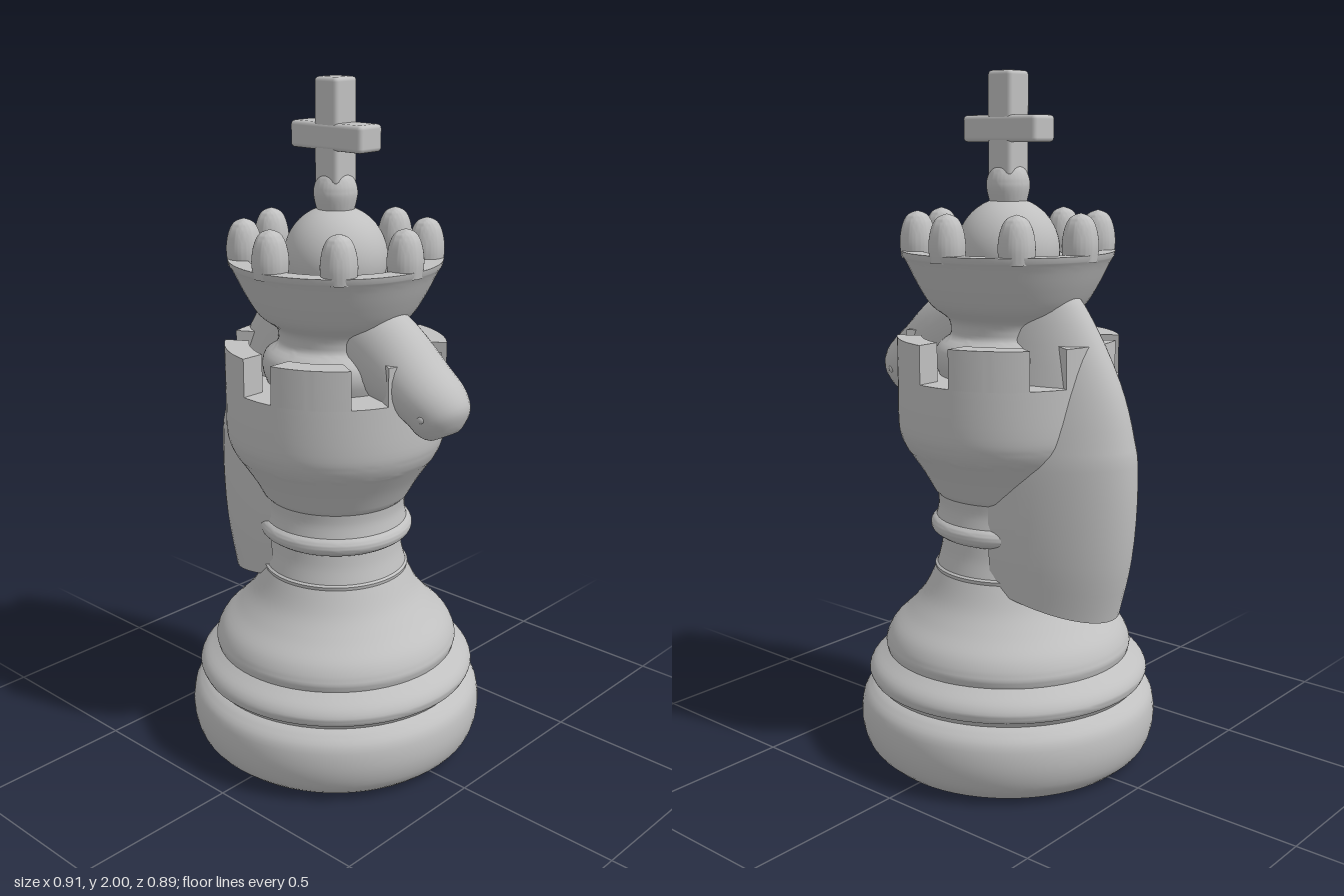
import * as THREE from 'three';
import { toCreasedNormals } from 'three/addons/utils/BufferGeometryUtils.js';
import { RoundedBoxGeometry } from 'three/addons/geometries/RoundedBoxGeometry.js';

const AXIS_X = -0.015;
const stone = new THREE.MeshStandardMaterial({ color: 0xc0c0c0, side: THREE.DoubleSide });
stone.name = 'grey stone';

function add(parent, name, geometry, x = 0, y = 0, z = 0) {
  const mesh = new THREE.Mesh(geometry, stone);
  mesh.name = name;
  mesh.position.set(x, y, z);
  parent.add(mesh);
  return mesh;
}

// Turned part from [radius, height] points, listed from the bottom up the outside
function turned(points, crease = 0.6) {
  const profile = points.map(([r, y]) => new THREE.Vector2(r, y));
  return toCreasedNormals(new THREE.LatheGeometry(profile, 64), crease);
}

// Smooth run of profile points
function smooth(points, n = 20) {
  const curve = new THREE.SplineCurve(points.map(([r, y]) => new THREE.Vector2(r, y)));
  return curve.getPoints(n).map((p) => [p.x, p.y]);
}

// Surface through rings of [x, y, z] points
function loft(rings, closed) {
  const n = rings[0].length;
  const index = [];
  for (let i = 0; i < rings.length - 1; i++) {
    for (let j = 0; j < (closed ? n : n - 1); j++) {
      const k = (j + 1) % n;
      const a = i * n + j, b = i * n + k, c = a + n, d = b + n;
      index.push(a, c, b, b, c, d);
    }
  }
  const geometry = new THREE.BufferGeometry();
  geometry.setAttribute('position', new THREE.Float32BufferAttribute(rings.flat(2), 3));
  geometry.setIndex(index);
  geometry.computeVertexNormals();
  return geometry;
}

// Values of several numbers interpolated smoothly through rows
function sampleRows(rows, n) {
  const pick = (s) => new THREE.CatmullRomCurve3(rows.map((r) => new THREE.Vector3(...[0, 1, 2].map((i) => r[s + i] ?? 0))));
  const first = pick(0), second = pick(3);
  return Array.from({ length: n + 1 }, (_, i) => [...first.getPoint(i / n).toArray(), ...second.getPoint(i / n).toArray()]);
}

// Horse head: each row is top x, top y, half width, bottom x, bottom y
function headGeometry() {
  const rows = [
    [0.12, 1.43, 0.095, 0.02, 1.2],
    [0.25, 1.36, 0.105, 0.15, 1.13],
    [0.36, 1.262, 0.103, 0.25, 1.1],
    [0.43, 1.2, 0.095, 0.295, 1.08],
    [0.455, 1.15, 0.08, 0.315, 1.06],
    [0.44, 1.1, 0.058, 0.335, 1.05],
    [0.425, 1.08, 0.045, 0.36, 1.05],
  ];
  const rings = sampleRows(rows, 24).map(([tx, ty, w, bx, by]) =>
    Array.from({ length: 28 }, (_, j) => {
      const a = (j / 28) * Math.PI * 2, t = (1 + Math.cos(a)) / 2;
      return [bx + (tx - bx) * t, by + (ty - by) * t, w * Math.sin(a)];
    }));
  const last = rings[rings.length - 1];
  rings.push(last.map(() => [0.392, 1.064, 0]));
  return toCreasedNormals(loft(rings, true), 0.7);
}

// Mane: each row is outer x, edge height, half width, drop toward the outer side
function maneGeometry() {
  const rows = [
    [-0.2, 1.44, 0.06, 0],
    [-0.28, 1.36, 0.09, 0],
    [-0.4, 1.155, 0.135, 0],
    [-0.445, 1.0, 0.17, 0],
    [-0.457, 0.88, 0.185, 0],
    [-0.44, 0.68, 0.188, 0.03],
    [-0.4, 0.555, 0.178, 0.075],
  ];
  const centre = -0.1;
  return loft(sampleRows(rows, 24).map(([x, y, w, drop]) =>
    Array.from({ length: 25 }, (_, j) => {
      const a = (j / 24 - 0.5) * Math.PI;
      return [centre + (x - centre) * Math.cos(a), y - drop * Math.cos(a), w * Math.sin(a)];
    })), false);
}

// One block of the battlement, with sides parallel to the gaps
function merlonGeometry() {
  const R = 0.32, r = 0.25, half = 0.0525, sector = Math.PI / 6;
  const outer = sector - Math.asin(half / R), inner = sector - Math.asin(half / r);
  const shape = new THREE.Shape();
  shape.absarc(0, 0, R, -outer, outer, false);
  shape.absarc(0, 0, r, inner, -inner, true);
  shape.closePath();
  const geometry = new THREE.ExtrudeGeometry(shape, { depth: 0.112, bevelEnabled: false, curveSegments: 12 });
  geometry.rotateX(-Math.PI / 2);
  return toCreasedNormals(geometry, 0.6);
}

export function createModel() {
  const model = new THREE.Group();
  model.name = 'combinedChessPiece';
  const body = new THREE.Group();
  body.name = 'turnedBody';
  body.position.x = AXIS_X;
  model.add(body);

  // Base with two rounded steps and a concave skirt
  add(body, 'base', turned([
    [0, 0], [0.375, 0],
    ...smooth([[0.385, 0.005], [0.425, 0.045], [0.443, 0.11], [0.436, 0.18], [0.405, 0.215]], 16),
    [0.392, 0.222], [0.4, 0.235],
    ...smooth([[0.41, 0.24], [0.418, 0.262], [0.405, 0.288], [0.375, 0.312]], 10),
    ...smooth([[0.362, 0.322], [0.366, 0.35], [0.345, 0.395], [0.295, 0.445], [0.25, 0.5], [0.215, 0.57]], 24),
  ]));

  // Neck and collar
  add(body, 'neck', turned([[0.215, 0.57], [0.217, 0.58], ...smooth([[0.21, 0.585], [0.198, 0.63], [0.192, 0.675]], 8)]));
  add(body, 'collar', turned([
    [0.19, 0.672],
    ...smooth([[0.205, 0.675], [0.224, 0.69], [0.228, 0.71], [0.218, 0.726], [0.2, 0.735]], 14),
  ]));

  // Rook tower
  add(body, 'tower', turned([
    ...smooth([[0.212, 0.725], [0.205, 0.765], [0.207, 0.8]], 8),
    ...smooth([[0.217, 0.81], [0.25, 0.868], [0.292, 0.93]], 8),
    ...smooth([[0.294, 0.932], [0.312, 0.97], [0.32, 1.02], [0.32, 1.15]], 12),
    [0.25, 1.15], [0, 1.15],
  ]));
  const battlement = merlonGeometry();
  for (let i = 0; i < 6; i++) {
    add(body, 'merlon', battlement, 0, 1.148, 0).rotation.y = (i * Math.PI) / 3;
  }

  // Queen crown with its inner bowl
  add(body, 'crown', turned([
    ...smooth([[0.2, 1.15], [0.212, 1.19], [0.205, 1.23], [0.17, 1.26]], 10),
    ...smooth([[0.165, 1.27], [0.172, 1.31], [0.222, 1.35], [0.26, 1.41], [0.29, 1.47], [0.302, 1.49]], 20),
    [0.305, 1.505], [0.25, 1.505], [0.235, 1.485], [0.14, 1.465], [0, 1.465],
  ]));
  const pearl = turned(smooth([[0.047, 1.485], [0.051, 1.53], [0.044, 1.575], [0.028, 1.605], [0, 1.617]], 16));
  for (let i = 0; i < 8; i++) {
    const a = (i * Math.PI) / 4;
    add(body, 'crownPearl', pearl, 0.257 * Math.cos(a), 0, 0.257 * Math.sin(a));
  }

  // King dome, finial and cross
  add(body, 'dome', new THREE.SphereGeometry(0.148, 48, 32), 0, 1.505, 0);
  add(body, 'finial', turned(smooth([[0.05, 1.63], [0.062, 1.685], [0.052, 1.725], [0.03, 1.75]], 16)));
  add(body, 'crossUpright', new RoundedBoxGeometry(0.085, 0.29, 0.088, 2, 0.012), 0, 1.855, 0);
  add(body, 'crossBar', new RoundedBoxGeometry(0.265, 0.074, 0.092, 2, 0.012), 0, 1.842, 0);

  // Knight head and mane
  add(model, 'horseHead', headGeometry());
  for (const side of [-1, 1]) {
    add(model, 'nostril', new THREE.SphereGeometry(0.014, 16, 12), 0.375, 1.13, side * 0.08);
  }
  add(model, 'mane', maneGeometry());
  return model;
}
